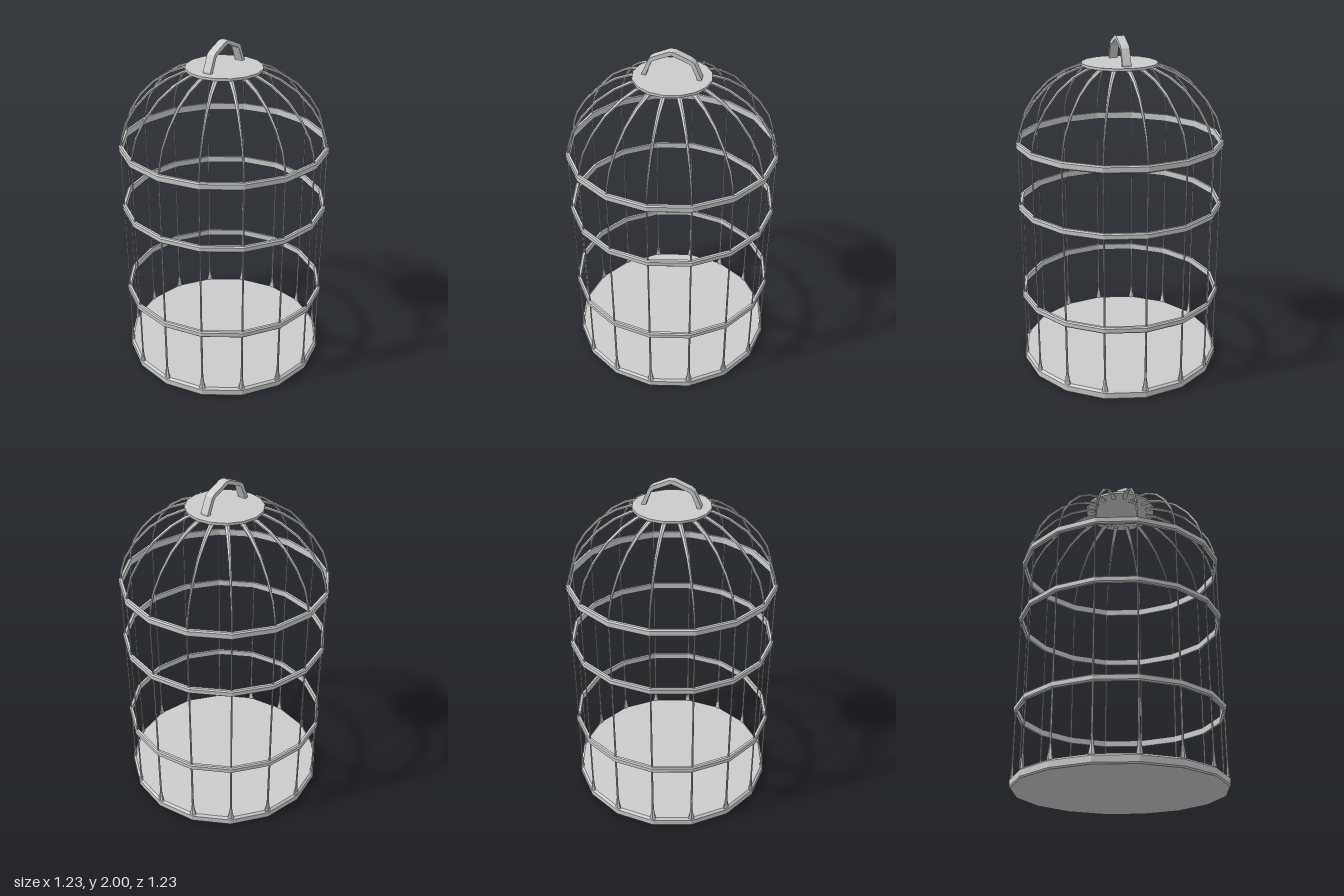
import * as THREE from 'three';

const SIDES = 16;
const material = new THREE.MeshStandardMaterial({ color: 0xcccccc, flatShading: true });

function addMesh(parent, name, geometry) {
  const mesh = new THREE.Mesh(geometry, material);
  mesh.name = name;
  parent.add(mesh);
  return mesh;
}

// Faceted turned part; points are [radius, height], listed bottom to top on the outside
function lathe(points) {
  return new THREE.LatheGeometry(points.map(([r, y]) => new THREE.Vector2(r, y)), SIDES);
}

// Tapered rod in the XY plane; each station is [x, y, half depth in plane, half width in z]
function taperedRod(stations, sides = 6) {
  const positions = [];
  const indices = [];
  const last = stations.length - 1;
  stations.forEach(([x, y, depth, width], i) => {
    const a = stations[Math.max(i - 1, 0)];
    const b = stations[Math.min(i + 1, last)];
    const length = Math.hypot(b[0] - a[0], b[1] - a[1]);
    const nx = (b[1] - a[1]) / length;
    const ny = -(b[0] - a[0]) / length;
    for (let j = 0; j < sides; j++) {
      const t = (j / sides) * Math.PI * 2;
      const d = Math.cos(t) * depth;
      positions.push(x + nx * d, y + ny * d, -Math.sin(t) * width);
    }
  });
  for (let i = 0; i < last; i++) {
    for (let j = 0; j < sides; j++) {
      const k = (j + 1) % sides;
      const a = i * sides + j, b = i * sides + k;
      indices.push(a, b, b + sides, a, b + sides, a + sides);
    }
  }
  // End caps
  for (let j = 1; j < sides - 1; j++) {
    indices.push(0, j + 1, j);
    indices.push(last * sides, last * sides + j, last * sides + j + 1);
  }
  const geometry = new THREE.BufferGeometry();
  geometry.setAttribute('position', new THREE.Float32BufferAttribute(positions, 3));
  geometry.setIndex(indices);
  geometry.computeVertexNormals();
  return geometry;
}

export function createModel() {
  const cage = new THREE.Group();
  cage.name = 'birdcage';

  // Solid floor with a bevelled rim
  addMesh(cage, 'floor', lathe([[0, 0], [0.607, 0], [0.613, 0.008], [0.613, 0.043], [0.6, 0.055], [0, 0.055]]));

  // Horizontal hoops with bevelled edges
  for (const [y, half] of [[0.45, 0.019], [1.018, 0.019], [1.395, 0.021]]) {
    const hoop = lathe([
      [0.592, -half], [0.606, -half], [0.613, -half + 0.007], [0.613, half - 0.007],
      [0.606, half], [0.592, half], [0.592, -half],
    ]);
    addMesh(cage, 'hoop', hoop).position.y = y;
  }

  // Bars: flared foot, thin upright, then a rib widening toward the crown
  const bar = taperedRod([
    [0.6, 0.05, 0.01, 0.021],
    [0.6, 0.085, 0.008, 0.014],
    [0.6, 0.135, 0.005, 0.007],
    [0.601, 0.9, 0.004, 0.005],
    [0.602, 1.39, 0.005, 0.004],
    [0.592, 1.46, 0.007, 0.005],
    [0.565, 1.545, 0.008, 0.006],
    [0.505, 1.64, 0.008, 0.007],
    [0.42, 1.73, 0.008, 0.009],
    [0.32, 1.795, 0.008, 0.012],
    [0.23, 1.83, 0.008, 0.015],
    [0.17, 1.832, 0.008, 0.016],
  ]);
  for (let i = 0; i < SIDES; i++) {
    addMesh(cage, 'bar', bar).rotation.y = (i / SIDES) * Math.PI * 2;
  }

  // Crown plate
  addMesh(cage, 'crownPlate', new THREE.CylinderGeometry(0.222, 0.222, 0.015, SIDES)).position.y = 1.843;

  // Flat angular carrying handle
  const outer = [[0.167, 1.825], [0.165, 1.86], [0.127, 1.945], [0.108, 1.96], [0.015, 2], [-0.015, 2]];
  const inner = [[0.143, 1.825], [0.142, 1.855], [0.11, 1.93], [0.1, 1.939], [0, 1.98]];
  const mirror = (points) => points.map(([x, y]) => [-x, y]);
  const outline = [
    ...outer.slice(0, 5), ...mirror(outer.slice(0, 5)).reverse(),
    ...mirror(inner), ...inner.slice(0, 4).reverse(),
  ];
  const handle = new THREE.ExtrudeGeometry(
    new THREE.Shape(outline.map(([x, y]) => new THREE.Vector2(x, y))),
    { depth: 0.05, bevelEnabled: false },
  );
  addMesh(cage, 'handle', handle).position.z = -0.025;

  return cage;
}
